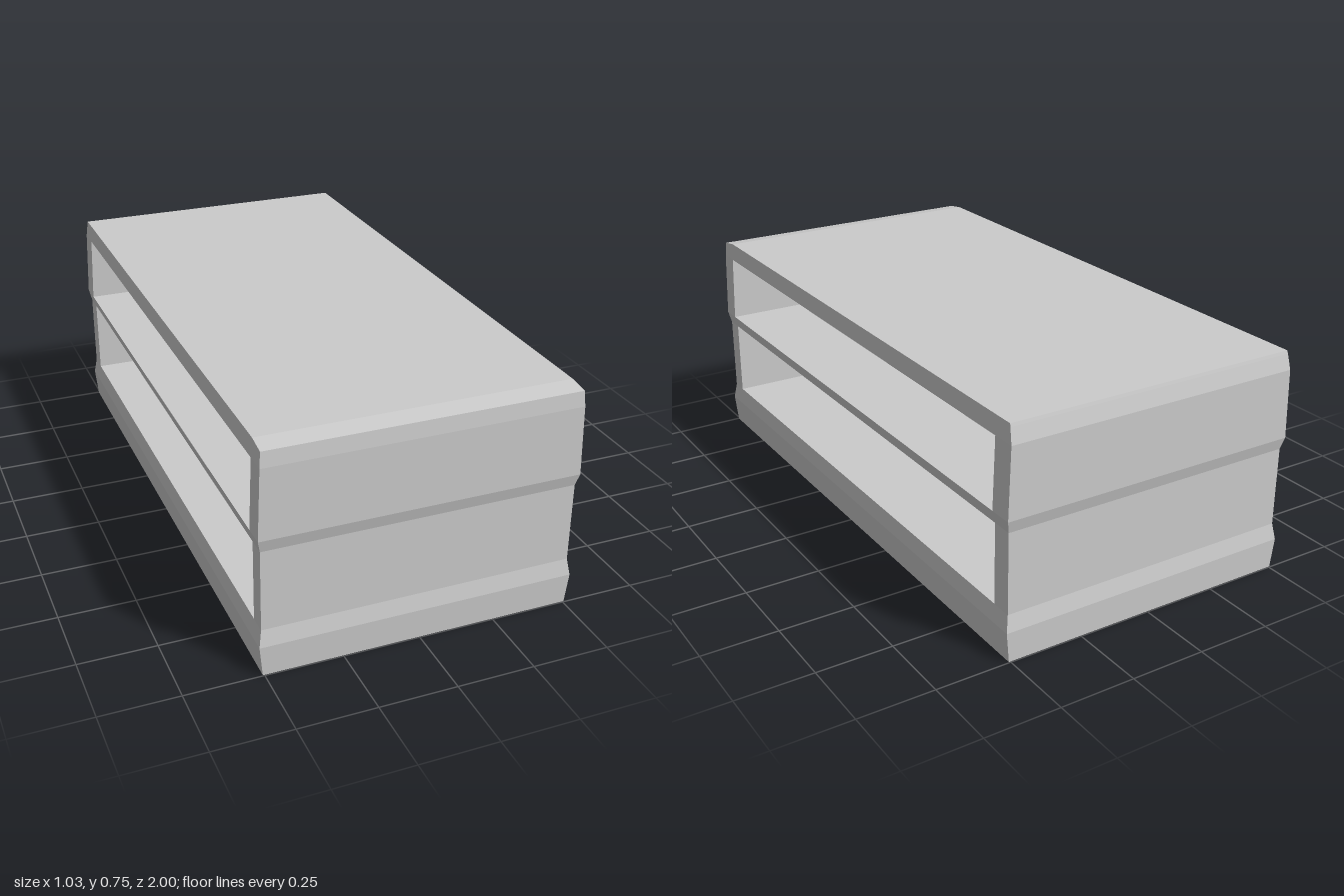
import * as THREE from 'three';

const material = new THREE.MeshStandardMaterial({ color: 0xcccccc, flatShading: true });

// Rectangular loft. Levels are [y, half width, back z, front z].
// sides: right +x, back, left -x, front; caps are rectangles [y, half width, back z, front z].
function loft(name, levels, sides, top, bottom) {
  const pos = [];
  const ring = ([y, w, z0, z1]) => [[w, y, z1], [w, y, z0], [-w, y, z0], [-w, y, z1]];
  const quad = (a, b, c, d) => pos.push(...a, ...b, ...c, ...a, ...c, ...d);
  for (let i = 0; i < levels.length - 1; i++) {
    const lo = ring(levels[i]), hi = ring(levels[i + 1]);
    for (const s of sides) {
      const n = (s + 1) % 4;
      quad(lo[s], lo[n], hi[n], hi[s]);
    }
  }
  if (top) quad(...ring(top));
  if (bottom) quad(...ring(bottom).reverse());
  const geometry = new THREE.BufferGeometry();
  geometry.setAttribute('position', new THREE.Float32BufferAttribute(pos, 3));
  geometry.computeVertexNormals();
  const mesh = new THREE.Mesh(geometry, material);
  mesh.name = name;
  return mesh;
}

export function createModel() {
  const group = new THREE.Group();
  group.name = 'openShelfUnit';
  const all = [0, 1, 2, 3], ends = [0, 2];
  const inBack = -0.92, inFront = 0.93;

  // Base plinth with a bulging band
  group.add(loft('base',
    [[0, 0.505, -0.997, 0.997], [0.1, 0.515, -1, 1], [0.155, 0.506, -0.99, 0.99]],
    all, [0.155, 0.506, inBack, inFront], [0, 0.505, -0.997, 0.997]));

  // End walls: recessed lower part, upper part stepped outward
  const wall = [[0.155, 0.506, 0.99], [0.42, 0.506, 0.99], [0.46, 0.515, 1], [0.69, 0.507, 1]];
  group.add(loft('frontWall', wall.map(([y, w, z]) => [y, w, inFront, z]), all));
  group.add(loft('backWall', wall.map(([y, w, z]) => [y, w, -z, inBack]), all));

  // Middle shelf
  const low = [0.42, 0.506, inBack, inFront], high = [0.46, 0.515, inBack, inFront];
  group.add(loft('middleShelf', [low, high], ends, high, low));

  // Top panel with bevelled edges
  group.add(loft('topPanel',
    [[0.69, 0.507, -1, 1], [0.74, 0.503, -0.988, 0.995], [0.75, 0.502, -0.985, 0.93]],
    all, [0.75, 0.502, -0.985, 0.93], [0.69, 0.507, inBack, inFront]));

  return group;
}
